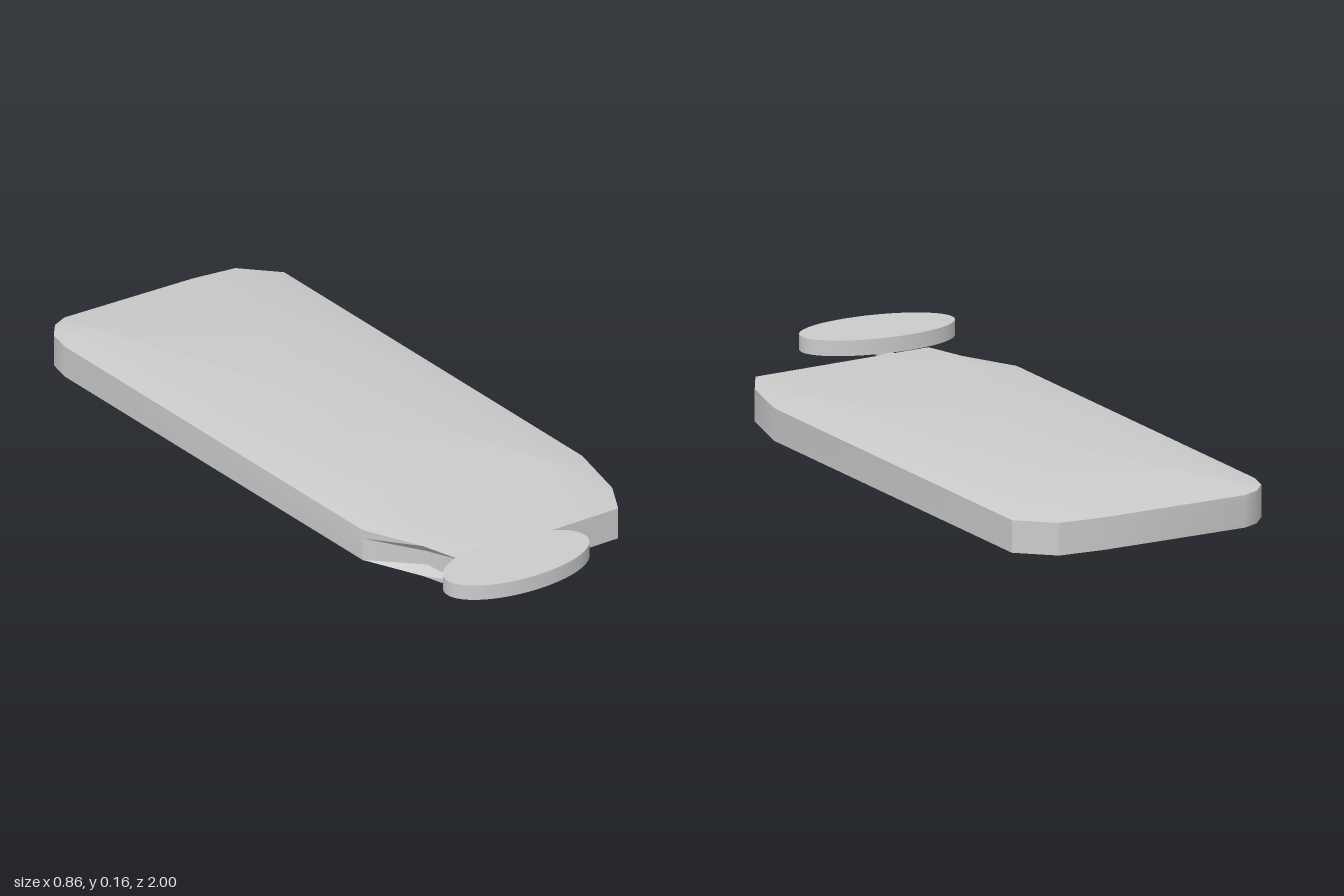
import * as THREE from 'three';
import { toCreasedNormals } from 'three/addons/utils/BufferGeometryUtils.js';

const material = new THREE.MeshStandardMaterial({ color: 0xcccccc });

// Slab plan: outer corner x, z followed by the matching bevel corner x, z
const PLAN = [
  [-0.43, -0.83, -0.33, -0.85], [-0.42, -0.90, -0.325, -0.855],
  [-0.385, -0.95, -0.32, -0.86], [-0.34, -0.975, -0.31, -0.86],
  [0.08, -1.0, 0.08, -0.88], [0.21, -0.995, 0.19, -0.885],
  [0.31, -0.91, 0.21, -0.88], [0.43, 0.40, 0.33, 0.40],
  [0.40, 0.60, 0.325, 0.41], [0.35, 0.71, 0.31, 0.42],
  [-0.175, 0.76, -0.19, 0.47], [-0.22, 0.64, -0.20, 0.47],
  [-0.31, 0.48, -0.21, 0.46],
];
const NOTCH = 11; // corner inside the scooped front edge

// The slab leans slightly sideways
const midY = (x) => 0.074 - 0.0235 * x;

function slabGeometry() {
  const n = PLAN.length;
  const positions = [];
  const index = [];
  // Cross-sections from bottom to top: [half thickness, inner?, notch depth]
  const rings = [[-0.064, true, 0], [-0.045, false, 0], [-0.02, false, 0.02],
    [0.02, false, 0.02], [0.045, false, 0], [0.062, true, 0]];
  for (const [h, inner, depth] of rings) {
    PLAN.forEach((p, i) => {
      let x = inner ? p[2] : p[0];
      let z = inner ? p[3] : p[1];
      if (i === NOTCH) { x += depth; z -= depth * 0.5; }
      positions.push(x, midY(x) + h, z);
    });
  }
  for (let r = 0; r < rings.length - 1; r++) {
    for (let i = 0; i < n; i++) {
      const j = (i + 1) % n;
      const a = r * n + i, b = r * n + j, c = a + n, d = b + n;
      index.push(a, c, b, b, c, d);
    }
  }
  // Flat caps fanned from the middle
  const top = (rings.length - 1) * n;
  const centre = rings.length * n;
  positions.push(0, midY(0) - 0.064, -0.2, 0, midY(0) + 0.062, -0.2);
  for (let i = 0; i < n; i++) {
    const j = (i + 1) % n;
    index.push(centre, i, j, centre + 1, top + j, top + i);
  }
  const g = new THREE.BufferGeometry();
  g.setAttribute('position', new THREE.Float32BufferAttribute(positions, 3));
  g.setIndex(index);
  return toCreasedNormals(g, 0.5);
}

export function createModel() {
  const group = new THREE.Group();
  const add = (name, geometry) => {
    const mesh = new THREE.Mesh(geometry, material);
    mesh.name = name;
    group.add(mesh);
    return mesh;
  };

  add('slab', slabGeometry());

  // Oval plate in front of the slab
  const disc = new THREE.CylinderGeometry(1, 1, 0.043, 64);
  disc.scale(0.226, 1, 0.114);
  disc.rotateY(0.06);
  add('ovalPlate', disc).position.set(-0.08, 0.138, 0.885);

  // Flattened hook joining the slab to the plate
  const path = new THREE.CatmullRomCurve3([
    [0.70, 0.075], [0.79, 0.074], [0.845, 0.084], [0.873, 0.105], [0.878, 0.13],
  ].map(([z, y]) => new THREE.Vector3(0, y, z)));
  const hook = new THREE.TubeGeometry(path, 24, 0.032, 16);
  hook.scale(0.55, 1, 1);
  add('hook', hook).position.x = -0.087;

  return group;
}
